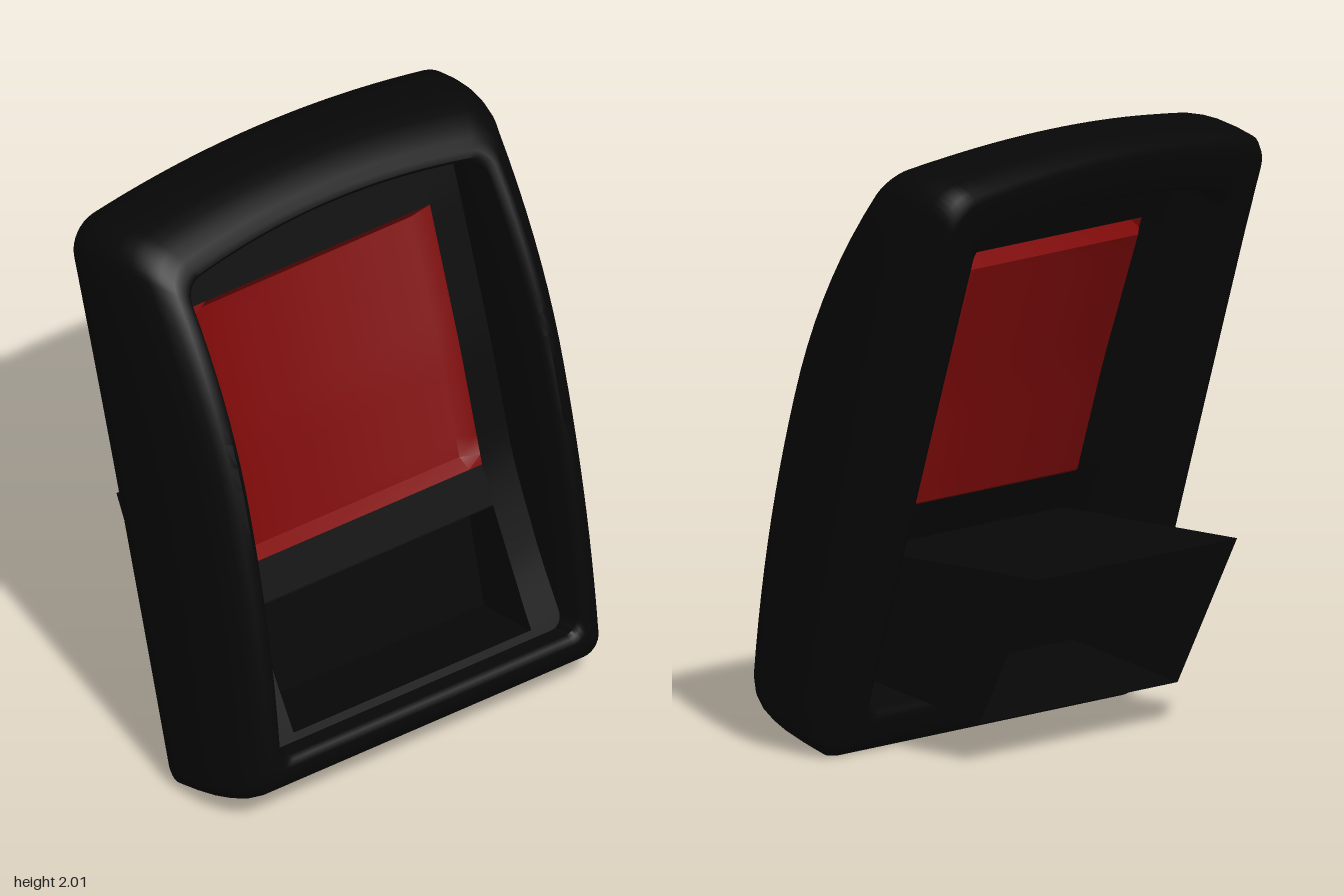
import * as THREE from 'three';
import { toCreasedNormals } from 'three/addons/utils/BufferGeometryUtils.js';

const TILT = -0.291;
const lerp = THREE.MathUtils.lerp;
const black = new THREE.MeshStandardMaterial({ color: 0x070707, side: THREE.DoubleSide });
const red = new THREE.MeshStandardMaterial({ color: 0x800a0a, side: THREE.DoubleSide });

// Skin a grid of points; normals follow (row direction) x (column direction)
function skin(rows, closed, crease = 0.8) {
  const n = rows.length, m = rows[0].length, index = [];
  for (let i = 0; i < (closed ? n : n - 1); i++) {
    for (let j = 0; j < (closed ? m : m - 1); j++) {
      const i2 = (i + 1) % n, j2 = (j + 1) % m;
      const a = i * m + j, b = i2 * m + j, c = i2 * m + j2, d = i * m + j2;
      index.push(a, b, c, a, c, d);
    }
  }
  const geo = new THREE.BufferGeometry();
  geo.setAttribute('position', new THREE.Float32BufferAttribute(rows.flat(2), 3));
  geo.setIndex(index);
  return toCreasedNormals(geo, crease);
}

function part(name, geo, material) {
  const mesh = new THREE.Mesh(geo, material);
  mesh.name = name;
  return mesh;
}

// Depth of the bowed front of the frame at height y
const frontDepth = (y) => y < 1.05
  ? 0.69 - 0.117 * ((y - 1.05) / 1.05) ** 2
  : 0.69 - 0.175 * ((y - 1.05) / 0.8) ** 2;

// Depth of the recessed panel at height y
const PANEL = [[0, 0.52], [0.126, 0.487], [0.33, 0.43], [0.54, 0.392], [0.69, 0.372], [1.1, 0.37], [1.6, 0.347], [1.9, 0.32]];
function panelDepth(y) {
  const k = Math.max(1, PANEL.findIndex((p) => p[0] >= y));
  const [y0, z0] = PANEL[k - 1], [y1, z1] = PANEL[k];
  return lerp(z0, z1, (y - y0) / (y1 - y0));
}

// Rounded rectangle with an arched top, counterclockwise, fixed point count
function outline(hw, bottom, top, drop, rb, rt) {
  const corners = [
    [hw - rb, bottom + rb, rb, -Math.PI / 2], [hw - rt, top - rt, rt, 0],
    [-hw + rt, top - rt, rt, Math.PI / 2], [-hw + rb, bottom + rb, rb, Math.PI],
  ];
  const pts = [];
  const arc = ([x, y, r, a], t) => [x + r * Math.cos(a + t * Math.PI / 2), y + r * Math.sin(a + t * Math.PI / 2)];
  corners.forEach((corner, c) => {
    for (let i = 0; i <= 8; i++) pts.push(arc(corner, i / 8));
    const from = arc(corner, 1), to = arc(corners[(c + 1) % 4], 0);
    for (let i = 1; i < 20; i++) pts.push([lerp(from[0], to[0], i / 20), lerp(from[1], to[1], i / 20)]);
  });
  return pts.map(([x, y]) => {
    const arch = top - drop * (x / hw) ** 2;
    return [x, bottom + (y - bottom) * (arch - bottom) / (top - bottom)];
  });
}

// Frame section: [share of the way from outer to inner edge, share of depth]
const SECTION = [
  [1, 0.06], [0.94, 0.015], [0.82, 0], [0.35, 0], [0.18, 0.012], [0.06, 0.045], [0, 0.1],
  [0.01, 0.3], [0.06, 0.5], [0.13, 0.64], [0.23, 0.77], [0.36, 0.87], [0.52, 0.945],
  [0.7, 0.985], [0.85, 1], [0.95, 0.985], [1, 0.95],
];

function frameGeometry() {
  const outer = outline(0.757, -0.052, 2.008, 0.07, 0.07, 0.1);
  const inner = outline(0.59, 0.1, 1.825, 0.06, 0.05, 0.06);
  const back = 0.118;
  const rows = outer.map(([ox, oy], i) => {
    const [ix, iy] = inner[i];
    // the bottom and top bars are squarer in section than the sides
    const power = oy < 1 ? 1.7 : 1.25;
    return SECTION.map(([f, h]) => {
      const x = lerp(ox, ix, f), y = lerp(oy, iy, h > 0.1 ? f ** power : f);
      return [x, y, lerp(back, frontDepth(y), h)];
    });
  });
  return skin(rows, true);
}

// Curved sheet over a rectangle that follows the panel, pushed back by depth(i, j)
function sheet(xs, ys, depth = () => 0) {
  return skin(xs.map((x, i) => ys.map((y, j) => [x, y, panelDepth(y) - depth(i, j)])), false);
}
const steps = (a, b, n) => Array.from({ length: n + 1 }, (_, i) => lerp(a, b, i / n));

// Flat four-sided face, corners counterclockwise from its front
const quad = (a, b, c, d) => skin([[a, d], [b, c]], false);

export function createModel() {
  const model = new THREE.Group();
  model.name = 'seatBackShell';

  // Leaning shell: frame, recessed panel and coloured inset
  const shell = new THREE.Group();
  shell.name = 'shell';
  shell.rotation.x = TILT;
  model.add(shell);
  shell.add(part('frame', frameGeometry(), black));

  const W = 0.472, E = 0.6;
  const insetLow = 0.685, insetHigh = 1.6, binLow = 0.126, binHigh = 0.543;
  for (const s of [-1, 1]) {
    const xs = s < 0 ? [-E, -W] : [W, E];
    shell.add(part('panelSide', sheet(xs, steps(0.08, 1.785, 24)), black));
  }
  for (const [name, a, b] of [['panelBottom', 0.08, binLow], ['panelBridge', binHigh, insetLow], ['panelTop', insetHigh, 1.83]]) {
    shell.add(part(name, sheet([-W, W], steps(a, b, 4)), black));
  }

  // Inset with sloped borders
  const insetYs = [insetLow, ...steps(insetLow + 0.034, insetHigh - 0.034, 12), insetHigh];
  const insetXs = [-W, -0.42, 0.42, W];
  const edge = (i, n) => i === 0 || i === n - 1;
  shell.add(part('inset', sheet(insetXs, insetYs,
    (i, j) => (edge(i, 4) || edge(j, insetYs.length) ? 0 : 0.045)), red));

  // Bin: a sleeve behind the lower opening, open at the rear, with a wall across it
  const bin = new THREE.Group();
  bin.name = 'bin';
  model.add(bin);
  const side = [[0.635, 0.22], [0.635, -0.543], [0.128, -0.283], [0.252, 0.43]];
  const wall = [[0.633, 0.06], [0.207, 0.17]];
  const at = (x, [y, z]) => [x, y, z];
  const across = (a, b) => quad(at(-W, a), at(W, a), at(W, b), at(-W, b));
  bin.add(part('binTop', across(side[0], side[1]), black));
  bin.add(part('binFloor', across(side[3], side[2]), black));
  bin.add(part('binWall', across(wall[1], wall[0]), black));
  for (const x of [-W, W]) {
    bin.add(part('binSide', quad(...[3, 2, 1, 0].map((k) => at(x, side[k]))), black));
  }
  return model;
}
